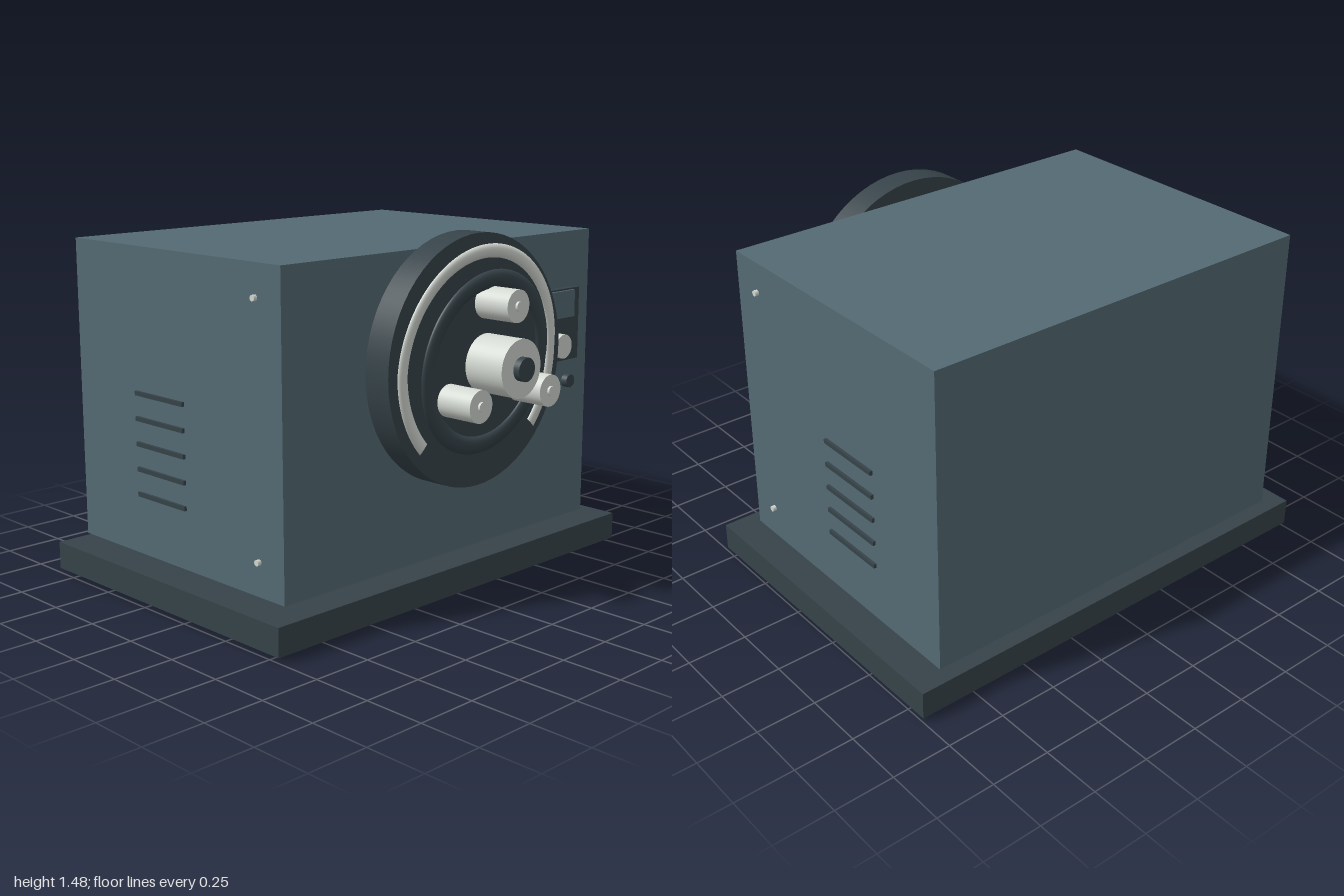
import * as THREE from 'three';

export function createModel() {
  const model = new THREE.Group();
  const mat = (name, color, side = THREE.FrontSide) => {
    const m = new THREE.MeshStandardMaterial({ color, side });
    m.name = name;
    return m;
  };
  const blueGrey = mat('blue grey', 0x546a73);
  const charcoal = mat('charcoal', 0x364349);
  const ivory = mat('ivory', 0xd3d8d1);

  const add = (name, geometry, material, x = 0, y = 0, z = 0) => {
    const mesh = new THREE.Mesh(geometry, material);
    mesh.name = name;
    mesh.position.set(x, y, z);
    model.add(mesh);
    return mesh;
  };
  // Box given by its extents on each axis
  const box = (name, material, x0, x1, y0, y1, z0, z1) =>
    add(name, new THREE.BoxGeometry(x1 - x0, y1 - y0, z1 - z0), material,
      (x0 + x1) / 2, (y0 + y1) / 2, (z0 + z1) / 2);
  // Cylinder along z between two depths
  const dial = (name, material, r, x, y, z0, z1, sides = 32) =>
    add(name, new THREE.CylinderGeometry(r, r, z1 - z0, sides).rotateX(Math.PI / 2),
      material, x, y, (z0 + z1) / 2);

  // Base plate, feet and housing
  box('basePlate', charcoal, -1, 1, 0.02, 0.135, -0.845, 0.55);
  box('housing', blueGrey, -0.885, 0.885, 0.16, 1.415, -0.8, 0.455);
  for (const s of [-1, 1]) {
    add('foot', new THREE.CylinderGeometry(0.055, 0.055, 0.02, 24), ivory, s * 0.765, 0.01, -0.145);
  }

  // Vents and screws on both sides
  for (const s of [-1, 1]) {
    for (let i = 0; i < 5; i++) {
      add('ventSlot', new THREE.BoxGeometry(0.02, 0.018, 0.3), charcoal, s * 0.887, 0.413 + i * 0.104, -0.263);
    }
    for (const y of [0.297, 1.287]) {
      add('sideScrew', new THREE.CylinderGeometry(0.012, 0.012, 0.025, 16).rotateZ(Math.PI / 2),
        ivory, s * 0.888, y, 0.317);
    }
  }

  // Pump drum and its hidden shaft
  const cy = 0.975;
  dial('driveShaft', charcoal, 0.1, 0, cy, 0.45, 0.49);
  dial('drum', charcoal, 0.5, 0, cy, 0.487, 0.605, 64);

  // Flattened ring: depth follows a rule of height, rounded normals are kept
  const flatRing = (name, material, radius, tube, start, arc, depth) => {
    const g = new THREE.TorusGeometry(radius, tube, 16, 80, arc);
    g.rotateZ(start);
    const p = g.attributes.position;
    for (let i = 0; i < p.count; i++) p.setZ(i, depth(p.getY(i)) + p.getZ(i) * 0.06);
    add(name, g, material, 0, cy, 0);
  };
  const end = THREE.MathUtils.degToRad(43);
  flatRing('innerRing', charcoal, 0.331, 0.036, 0, Math.PI * 2, y => 0.648 + 0.098 * y);
  flatRing('tubing', ivory, 0.434, 0.027, -end, Math.PI + 2 * end, y => 0.614 + 0.075 * Math.max(0, y));

  // Rotor hub and three rollers with pins
  dial('rotorHub', ivory, 0.115, 0, cy, 0.64, 0.82, 40);
  dial('hubCap', charcoal, 0.047, 0, cy, 0.81, 0.848);
  for (let i = 0; i < 3; i++) {
    const a = Math.PI / 2 + i * Math.PI * 2 / 3;
    const x = Math.cos(a) * 0.237, y = cy + Math.sin(a) * 0.237;
    dial('roller', ivory, 0.064, x, y, 0.638, 0.8);
    dial('rollerPin', ivory, 0.019, x, y, 0.625, 0.81, 20);
  }

  // Control panel with screen, knob and two buttons
  box('controlPanel', charcoal, 0.507, 0.785, 0.868, 1.177, 0.455, 0.487);
  box('screen', blueGrey, 0.55, 0.74, 1.055, 1.17, 0.487, 0.5);
  dial('speedKnob', ivory, 0.052, 0.646, 0.938, 0.487, 0.523);
  for (const x of [0.585, 0.706]) dial('button', charcoal, 0.028, x, 0.78, 0.487, 0.515, 24);

  return model;
}
